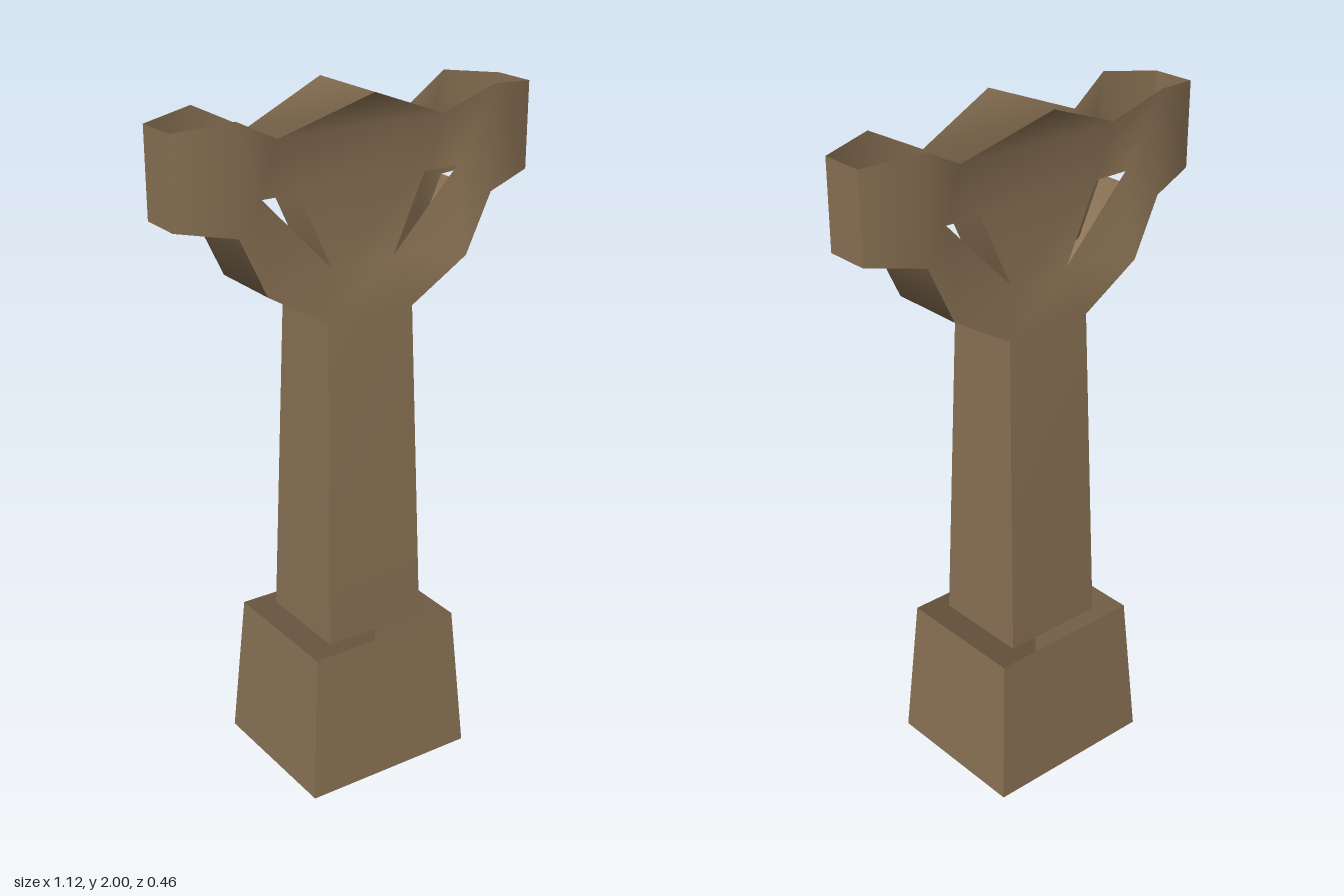
import * as THREE from 'three';

const stone = new THREE.MeshStandardMaterial({ color: 0x8b7355, side: THREE.DoubleSide });
stone.name = 'brownStone';

// Indexed sheet with smooth normals inside it and sharp borders
function sheet(name, points, triangles) {
  const g = new THREE.BufferGeometry();
  g.setAttribute('position', new THREE.Float32BufferAttribute(points.flat(), 3));
  g.setIndex(triangles.flat());
  g.computeVertexNormals();
  const m = new THREE.Mesh(g, stone);
  m.name = name;
  return m;
}

// Side strip facing +x, spanning -z to +z along a rising list of [x, y, z]
function sideStrip(name, profile) {
  const points = [], tris = [];
  profile.forEach(([x, y, z], i) => {
    points.push([x, y, z], [x, y, -z]);
    const a = i * 2;
    if (i) tris.push([a - 2, a - 1, a + 1], [a - 2, a + 1, a]);
  });
  return sheet(name, points, tris);
}

// Right half of the cross face; the left half is mirrored
const half = [
  [0.26, 1.904, 0.075],  // 0 notch beside the peak
  [0.4, 1.973, 0.112],   // 1 arm top
  [0.56, 1.955, 0.065],  // 2 arm tip top
  [0.56, 1.708, 0.065],  // 3 arm tip bottom
  [0.4, 1.678, 0.112],   // 4 arm underside
  [0.32, 1.51, 0.112],   // 5 ring shoulder
  [0.137, 1.4, 0.114],   // 6 shaft top
  [0.158, 0.44, 0.147],  // 7 shaft foot
  [0.2, 1.756, 0.075],   // 8 window inner top
  [0.31, 1.756, 0.075],  // 9 window outer top
  [0.1, 1.538, 0.075],   // 10 window bottom
];

function crossFace() {
  const n = half.length;
  const points = [...half, ...half.map(([x, y, z]) => [-x, y, z]), [0, 2, 0.127]];
  const wing = [[0, 8, 9], [0, 9, 1], [1, 9, 4], [1, 4, 3], [1, 3, 2], [9, 5, 4], [9, 10, 5], [10, 6, 5]];
  const tris = [[2 * n, n, 0]]; // peak
  for (const [a, b, c] of wing) tris.push([a, b, c], [n + a, n + c, n + b]);
  // central bands from the notches down to the foot
  const spine = [0, 8, 10, 6, 7];
  for (let i = 1; i < spine.length; i++) {
    const t = spine[i - 1], b = spine[i];
    tris.push([t, n + t, n + b], [t, n + b, b]);
  }
  return sheet('crossFace', points, tris);
}

export function createModel() {
  const model = new THREE.Group();
  model.name = 'stoneCross';

  // Front and back, then right and left: every wall is repeated by a half turn
  for (let i = 0; i < 2; i++) {
    const side = new THREE.Group();
    side.name = i ? 'backAndRightWalls' : 'frontAndLeftWalls';
    side.rotation.y = i * Math.PI;
    side.add(
      crossFace(),
      sideStrip('shaftSide', [half[7], half[6]]),
      sideStrip('ringSide', [half[6], half[5], half[4]]),
      sideStrip('armEnd', [half[3], half[2]]),
      // Open tapered plinth
      sideStrip('plinthSide', [[0.268, 0, 0.23], [0.238, 0.44, 0.2]]),
      sheet('plinthFace',
        [[-0.268, 0, 0.23], [0.268, 0, 0.23], [0.238, 0.44, 0.2], [-0.238, 0.44, 0.2]],
        [[0, 1, 2], [0, 2, 3]]),
    );
    model.add(side);
  }
  return model;
}
